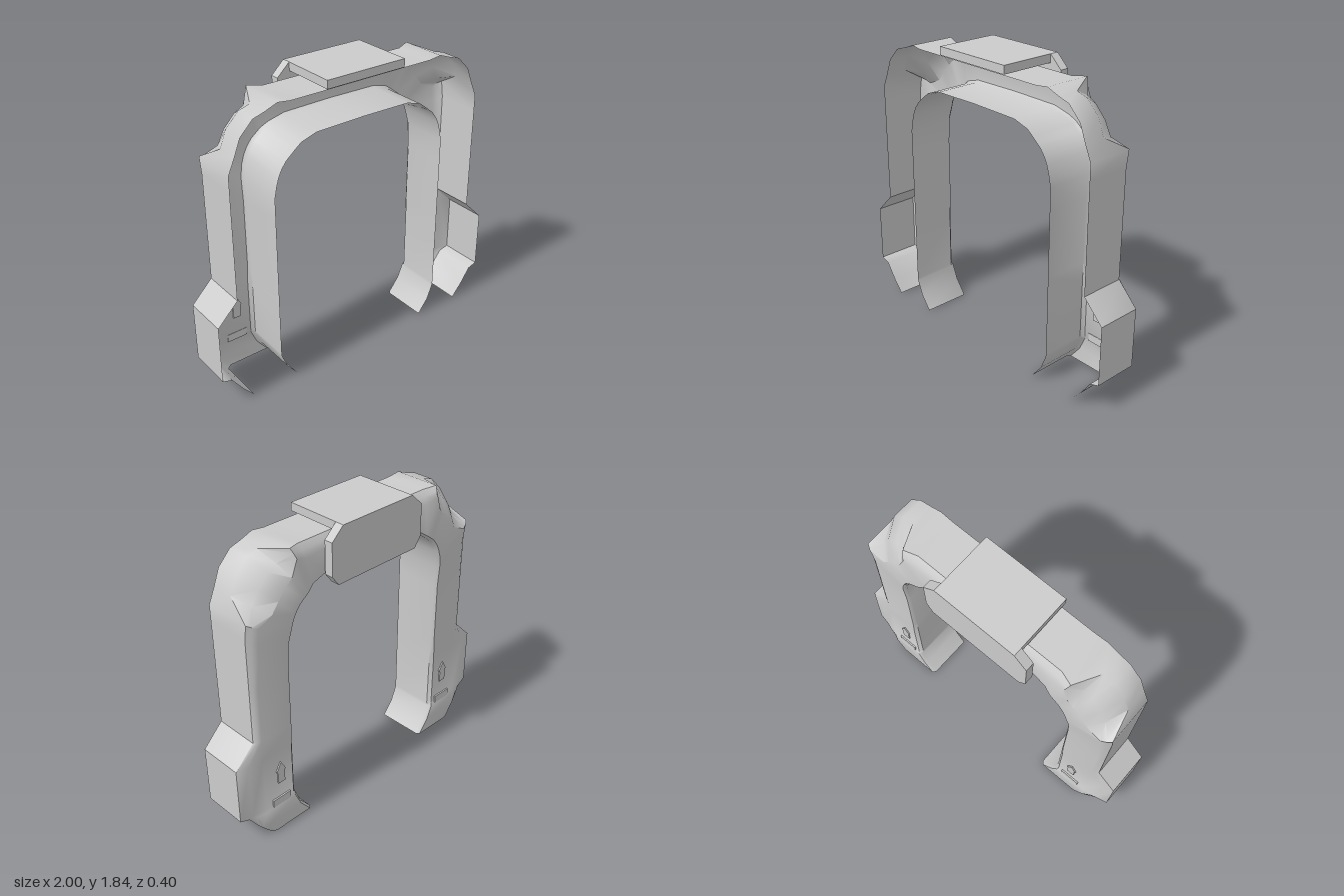
import * as THREE from 'three';
import { toCreasedNormals } from 'three/addons/utils/BufferGeometryUtils.js';

const material = new THREE.MeshStandardMaterial({ color: 0xcccccc, side: THREE.DoubleSide });
const FRONT = 0.175;

function add(parent, name, geometry) {
  const mesh = new THREE.Mesh(geometry, material);
  mesh.name = name;
  parent.add(mesh);
  return mesh;
}

// Stations from the middle of the beam down the left leg:
// outer x, outer y, inner x, inner y, bevel width (fraction), outer edge z, back z
const half = [
  [0, 1.77, 0, 1.555, 0.3, -0.09, -0.13],
  [0.32, 1.77, 0.32, 1.55, 0.3, -0.09, -0.13],
  [0.48, 1.77, 0.42, 1.52, 0.3, -0.09, -0.135],
  [0.56, 1.78, 0.46, 1.49, 0.2, -0.12, -0.148],
  [0.64, 1.75, 0.49, 1.465, 0.42, 0.04, -0.148],
  [0.71, 1.73, 0.52, 1.44, 0.48, 0.04, -0.148],
  [0.79, 1.65, 0.55, 1.4, 0.48, 0.04, -0.148],
  [0.83, 1.55, 0.57, 1.36, 0.42, 0.04, -0.148],
  [0.87, 1.46, 0.585, 1.31, 0.2, -0.12, -0.148],
  [0.87, 1.36, 0.6, 1.24, 0.2, -0.105, -0.14],
  [0.87, 1.04, 0.6, 1.1, 0.15, -0.105, -0.13],
  [0.87, 0.7, 0.6, 0.7, 0.15, -0.105, -0.13],
  [1, 0.57, 0.6, 0.57, 0.43, -0.105, -0.13],
  [1, 0.2, 0.6, 0.2, 0.43, -0.105, -0.13],
  [0.94, 0.18, 0.597, 0.18, 0.3, -0.11, -0.14],
  [0.87, 0.08, 0.56, 0.09, 0.12, -0.115, -0.14],
  [0.8, 0, 0.49, 0, 0.1, -0.115, -0.14],
];

// Channel section, open at the front, swept along both legs and the beam
function shellGeometry() {
  const mirrored = half.slice(1).reverse().map(([ox, oy, ix, ...rest]) => [-ox, oy, -ix, ...rest]);
  const stations = [...mirrored, ...half];
  const positions = [];
  const indices = [];
  let count = 0;
  for (const [ox, oy, ix, iy, bevel, zEdge, zBack] of stations) {
    const section = [
      [0, FRONT],
      [0, zEdge],
      [bevel * 0.45, zEdge + (zBack - zEdge) * 0.6],
      [bevel, zBack],
      [0.95, zBack],
      [1, zBack + 0.02],
      [1, FRONT],
    ];
    count = section.length;
    for (const [t, z] of section) positions.push(ox + (ix - ox) * t, oy + (iy - oy) * t, z);
  }
  for (let i = 0; i < stations.length - 1; i++) {
    for (let j = 0; j < count - 1; j++) {
      const a = i * count + j;
      const b = a + count;
      indices.push(a, b, a + 1, b, b + 1, a + 1);
    }
  }
  const geometry = new THREE.BufferGeometry();
  geometry.setAttribute('position', new THREE.Float32BufferAttribute(positions, 3));
  geometry.setIndex(indices);
  return toCreasedNormals(geometry, 0.75);
}

// Flat outline given thickness between two z values
function slab(points, zBack, zFront) {
  const shape = new THREE.Shape(points.map(([x, y]) => new THREE.Vector2(x, y)));
  const geometry = new THREE.ExtrudeGeometry(shape, { depth: zFront - zBack, bevelEnabled: false });
  return geometry.translate(0, 0, zBack);
}

export function createModel() {
  const model = new THREE.Group();
  model.name = 'archFrame';

  add(model, 'archShell', shellGeometry());

  // Cap over the middle of the beam
  const cap = new THREE.Group();
  cap.name = 'beamCap';
  model.add(cap);
  const top = add(cap, 'capTop', new THREE.BoxGeometry(0.53, 0.05, 0.345));
  top.position.set(0, 1.81, 0.0275);
  const right = [[0.3, 1.5], [0.345, 1.56], [0.345, 1.76], [0.265, 1.835]];
  const left = right.map(([x, y]) => [-x, y]).reverse();
  add(cap, 'capBackPlate', slab([...right, ...left], -0.2, -0.145));

  // Arrow-shaped marker and small ledge on the back of each leg
  for (const side of [-1, 1]) {
    const x = side * 0.71;
    const arrow = [
      [x - 0.025, 0.345], [x + 0.025, 0.345], [x + 0.025, 0.42],
      [x + 0.033, 0.43], [x, 0.49], [x - 0.033, 0.43], [x - 0.025, 0.42],
    ];
    add(model, side > 0 ? 'leftMarker' : 'rightMarker', slab(arrow, -0.139, -0.122));
    const ledge = add(model, side > 0 ? 'leftLedge' : 'rightLedge', new THREE.BoxGeometry(0.13, 0.05, 0.012));
    ledge.position.set(side * 0.715, 0.212, -0.134);
  }
  return model;
}
